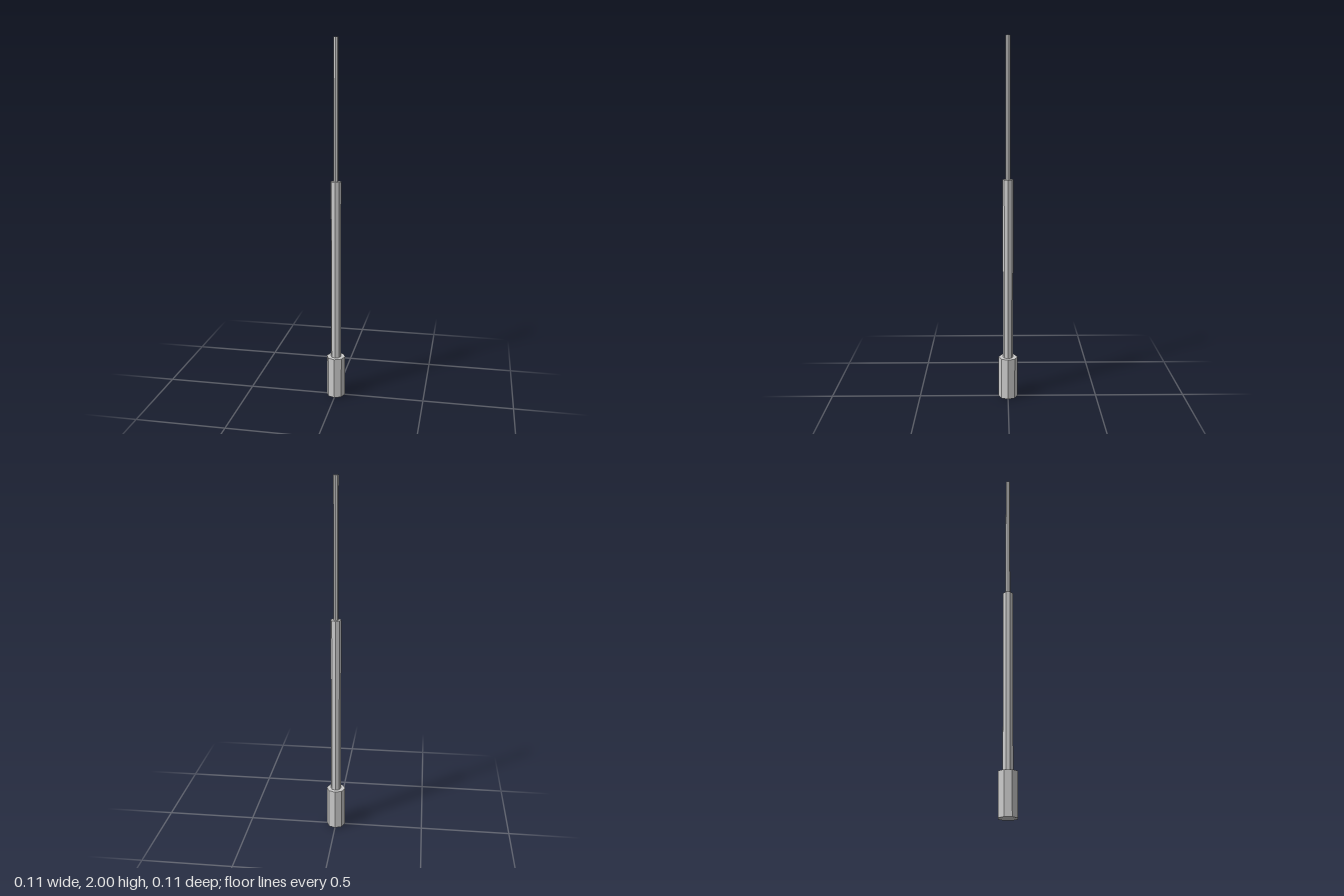
import * as THREE from 'three';

const SIDES = 8;

export function createModel() {
  const model = new THREE.Group();
  model.name = 'steppedAntenna';
  const material = new THREE.MeshStandardMaterial({ color: 0xcccccc, flatShading: true });

  // Upright octagonal section between two heights, with a corner facing the front
  const addSection = (name, radius, bottom, top) => {
    const geometry = new THREE.CylinderGeometry(radius, radius, top - bottom, SIDES);
    const mesh = new THREE.Mesh(geometry, material);
    mesh.name = name;
    mesh.position.y = (bottom + top) / 2;
    model.add(mesh);
  };

  addSection('base', 0.053, 0, 0.233);
  addSection('lowerMast', 0.029, 0.233, 1.243);
  addSection('upperRod', 0.014, 1.243, 2);

  return model;
}
